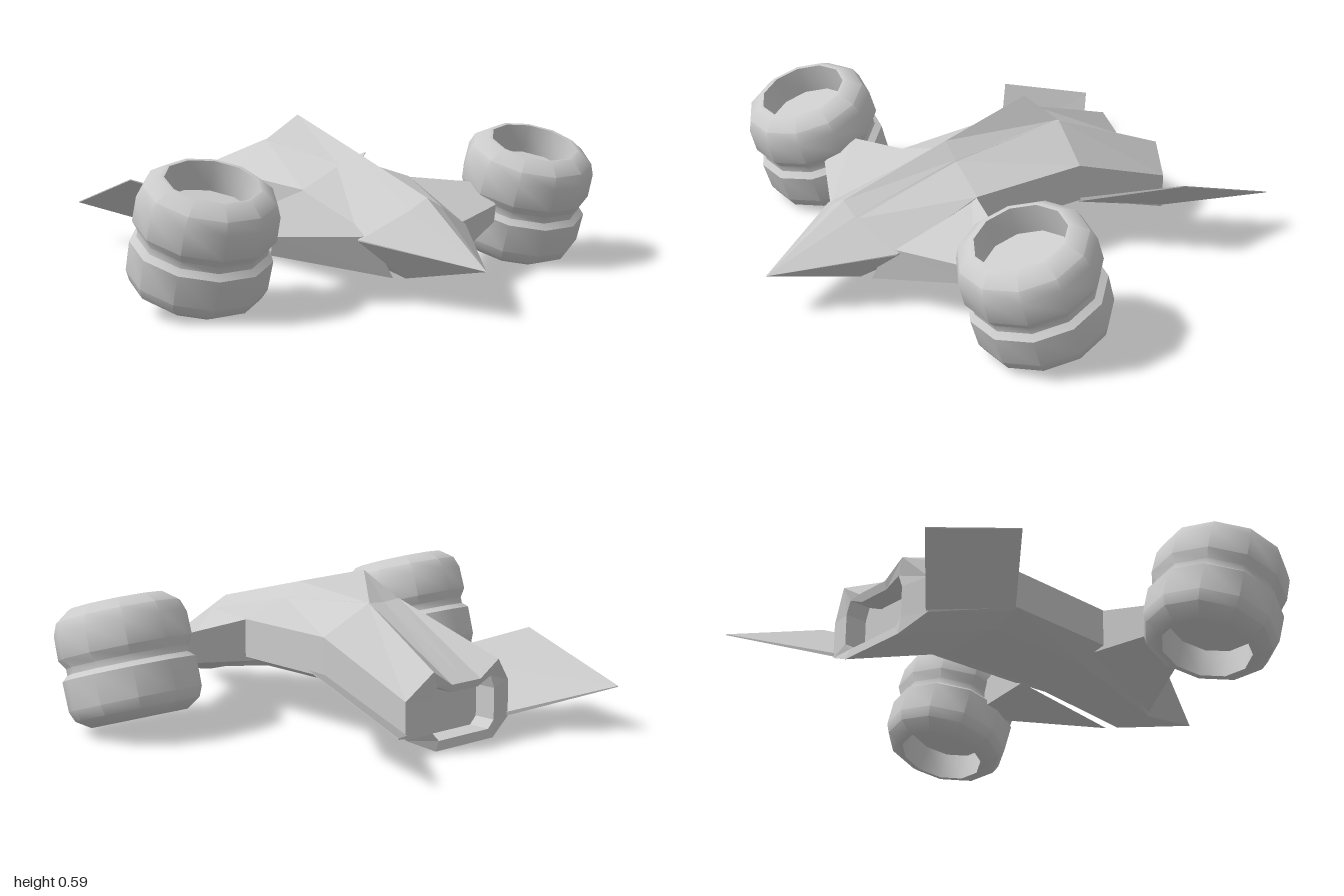
import * as THREE from 'three';
import { toCreasedNormals } from 'three/addons/utils/BufferGeometryUtils.js';

const flat = new THREE.MeshStandardMaterial({ color: 0xcccccc, flatShading: true });
const smooth = new THREE.MeshStandardMaterial({ color: 0xcccccc });

// Skin between successive rings of [x, y, z] points, closing the last ring
function loft(rings) {
  const pos = [];
  const tri = (...p) => p.forEach((q) => pos.push(...q));
  for (let i = 0; i < rings.length - 1; i++) {
    const r = rings[i], s = rings[i + 1], n = r.length;
    for (let j = 0; j < n; j++) {
      const k = (j + 1) % n;
      tri(r[j], r[k], s[k]);
      tri(r[j], s[k], s[j]);
    }
  }
  const end = rings[rings.length - 1];
  for (let j = 1; j < end.length - 1; j++) tri(end[0], end[j], end[j + 1]);
  const geo = new THREE.BufferGeometry();
  geo.setAttribute('position', new THREE.Float32BufferAttribute(pos, 3));
  geo.computeVertexNormals();
  return geo;
}

const flip = ([x, y, z]) => [-x, y, z];
// Half ring (top centre first) completed to a symmetric ring
const fullRing = (half) => [...half, ...half.slice(1).reverse().map(flip)];
// Mirror rings across x = 0, keeping faces outward
const mirrorRings = (rings) => rings.map((r) => r.map(flip).reverse());

export function createModel() {
  const model = new THREE.Group();
  const add = (name, geo, mat = flat) => {
    const mesh = new THREE.Mesh(geo, mat);
    mesh.name = name;
    model.add(mesh);
    return mesh;
  };

  // Fuselage: centre, deck edge, ridge, shoulder, lower side, keel; nose to tail
  const nose = Array(6).fill([0, 0.18, 0.97]);
  const mid = [[0.075, 0.49, -0.31], [0.08, 0.49, -0.31], [0.27, 0.38, -0.27], [0.27, 0.23, -0.27], [0.15, 0.18, -0.27]];
  const outlet = (z) => [[0, 0.22, z], [0.07, 0.22, z], [0.14, 0.25, z], [0.16, 0.2, z], [0.16, 0.08, z], [0.13, 0.05, z]];
  const sections = [
    nose,
    [[0, 0.39, 0.63], [0.07, 0.35, 0.625], [0.08, 0.345, 0.62], [0.245, 0.25, 0.555], [0.245, 0.245, 0.555], [0.085, 0.1, 0.62]],
    [[0, 0.505, 0.17], [0.065, 0.45, 0.17], [0.07, 0.445, 0.17], [0.25, 0.38, 0.2], [0.25, 0.23, 0.2], [0.14, 0.18, 0.2]],
    [[0, 0.595, -0.2], ...mid],
    [[0, 0.485, -0.31], ...mid],
    [[0, 0.25, -0.74], [0.075, 0.25, -0.74], [0.17, 0.31, -0.74], [0.27, 0.21, -0.7], [0.27, 0.07, -0.7], [0.15, 0.015, -0.735]],
    outlet(-0.73),
    outlet(-0.64),
    Array(6).fill([0, 0.15, -0.64]),
  ];
  add('fuselage', loft(sections.map(fullRing)));

  // Wing stubs carrying the pods
  const wing = [
    [[0.2, 0.385, 0.19], [0.2, 0.26, 0.57], [0.12, 0.1, 0.59], [0.2, 0.21, 0.19]],
    [[0.52, 0.34, 0.275], [0.52, 0.27, 0.405], [0.52, 0.2, 0.395], [0.52, 0.23, 0.275]],
  ];
  // Swept tail fins: thin slabs
  const slab = (back, front, t) => [
    back, front,
    [front[0], front[1] - t, front[2]],
    [back[0], back[1] - t, back[2]],
  ];
  const fin = [
    slab([0.255, 0.085, -0.695], [0.26, 0.235, -0.27], 0.015),
    slab([0.577, 0.185, -0.975], [0.577, 0.345, -0.53], 0.004),
  ];

  // Pods: hollow at both ends, grooved at the middle
  const profile = [
    [0, -0.11], [0.165, -0.11], [0.17, -0.225], [0.185, -0.225], [0.24, -0.19], [0.257, -0.15],
    [0.259, -0.035], [0.236, -0.015], [0.236, 0.01], [0.259, 0.045],
    [0.257, 0.14], [0.24, 0.185], [0.185, 0.225], [0.17, 0.225], [0.165, 0.11], [0, 0.11],
  ].map(([x, y]) => new THREE.Vector2(x, y));
  const podGeo = toCreasedNormals(new THREE.LatheGeometry(profile, 11, Math.PI), 0.66);

  for (const [label, s] of [['left', 1], ['right', -1]]) {
    add(label + 'Wing', loft(s > 0 ? wing : mirrorRings(wing)));
    add(label + 'TailFin', loft(s > 0 ? fin : mirrorRings(fin)));
    const pod = add(label + 'Pod', podGeo, smooth);
    pod.position.set(s * 0.743, 0.275, 0.3);
    pod.rotation.x = 0.3;
  }
  return model;
}
